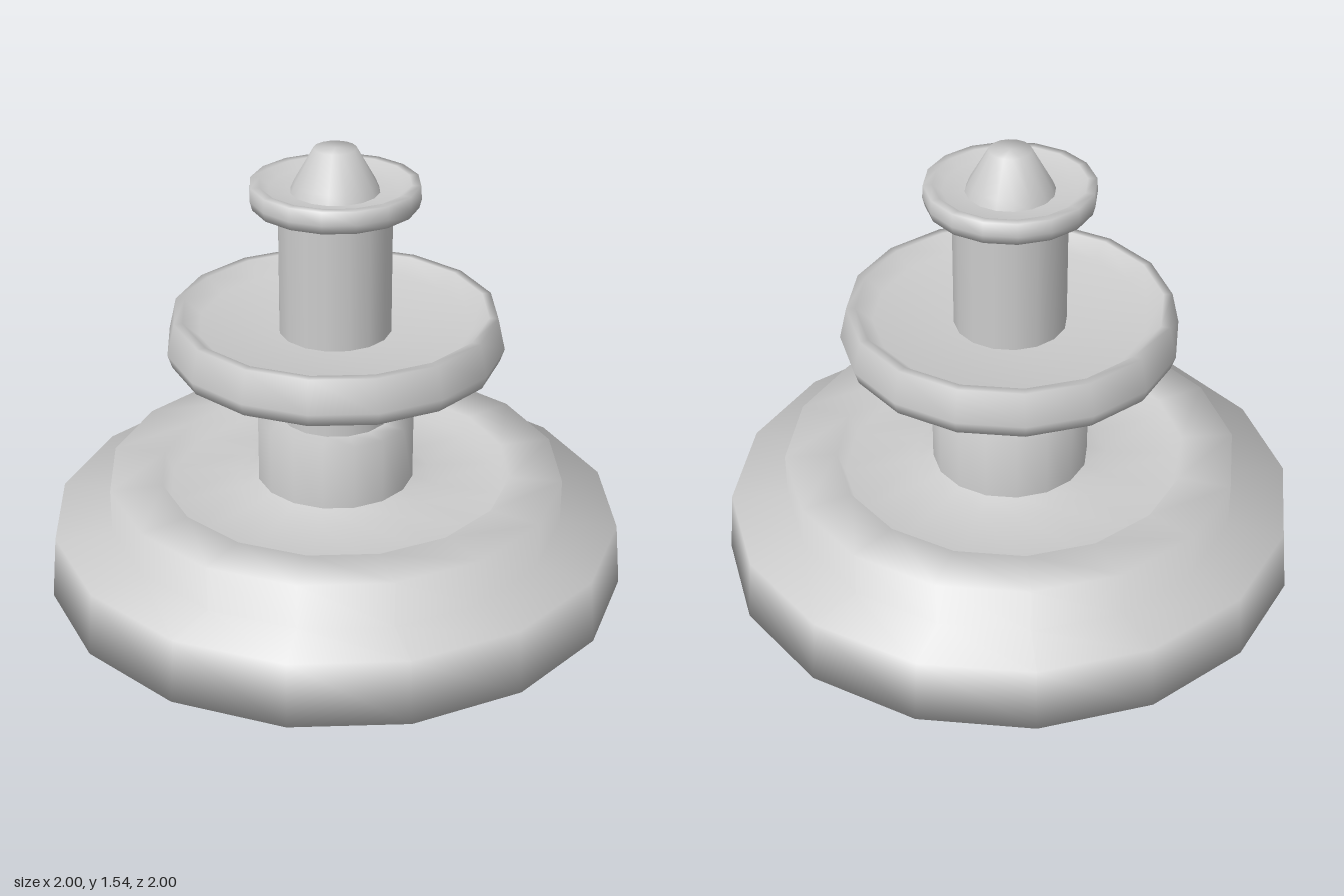
import * as THREE from 'three';

const SIDES = 16;
const material = new THREE.MeshStandardMaterial({ color: 0xcccccc });

// Turned part: profile of [radius, height] from the bottom centre, outwards, up and back in
function turned(name, profile) {
  const points = profile.map(([r, y]) => new THREE.Vector2(r, y));
  const mesh = new THREE.Mesh(new THREE.LatheGeometry(points, SIDES), material);
  mesh.name = name;
  return mesh;
}

export function createModel() {
  const fountain = new THREE.Group();
  fountain.name = 'fountain';

  fountain.add(
    // Wide step carrying the lower basin with its sunken floor
    turned('basinBase', [
      [0, 0], [1, 0], [0.98, 0.22], [0.785, 0.22], [0.785, 0.38],
      [0.605, 0.38], [0.58, 0.31], [0.34, 0.335], [0.27, 0.36],
    ]),
    // Thick foot of the column
    turned('columnFoot', [[0.27, 0.3], [0.27, 0.59], [0.19, 0.59]]),
    // Slender column
    turned('column', [[0.19, 0.58], [0.19, 1.36]]),
    // Middle dish with a thin lip
    turned('middleBowl', [
      [0.19, 0.82], [0.38, 0.815], [0.555, 0.82], [0.57, 0.865], [0.545, 0.975],
      [0.515, 0.975], [0.46, 0.925], [0.19, 0.905],
    ]),
    // Small top dish
    turned('topBowl', [
      [0, 1.35], [0.275, 1.35], [0.283, 1.38], [0.28, 1.425],
      [0.25, 1.425], [0.22, 1.4], [0.13, 1.395],
    ]),
    // Blunt spout
    turned('spout', [[0.15, 1.39], [0.135, 1.425], [0.07, 1.54], [0, 1.54]]),
  );
  return fountain;
}
